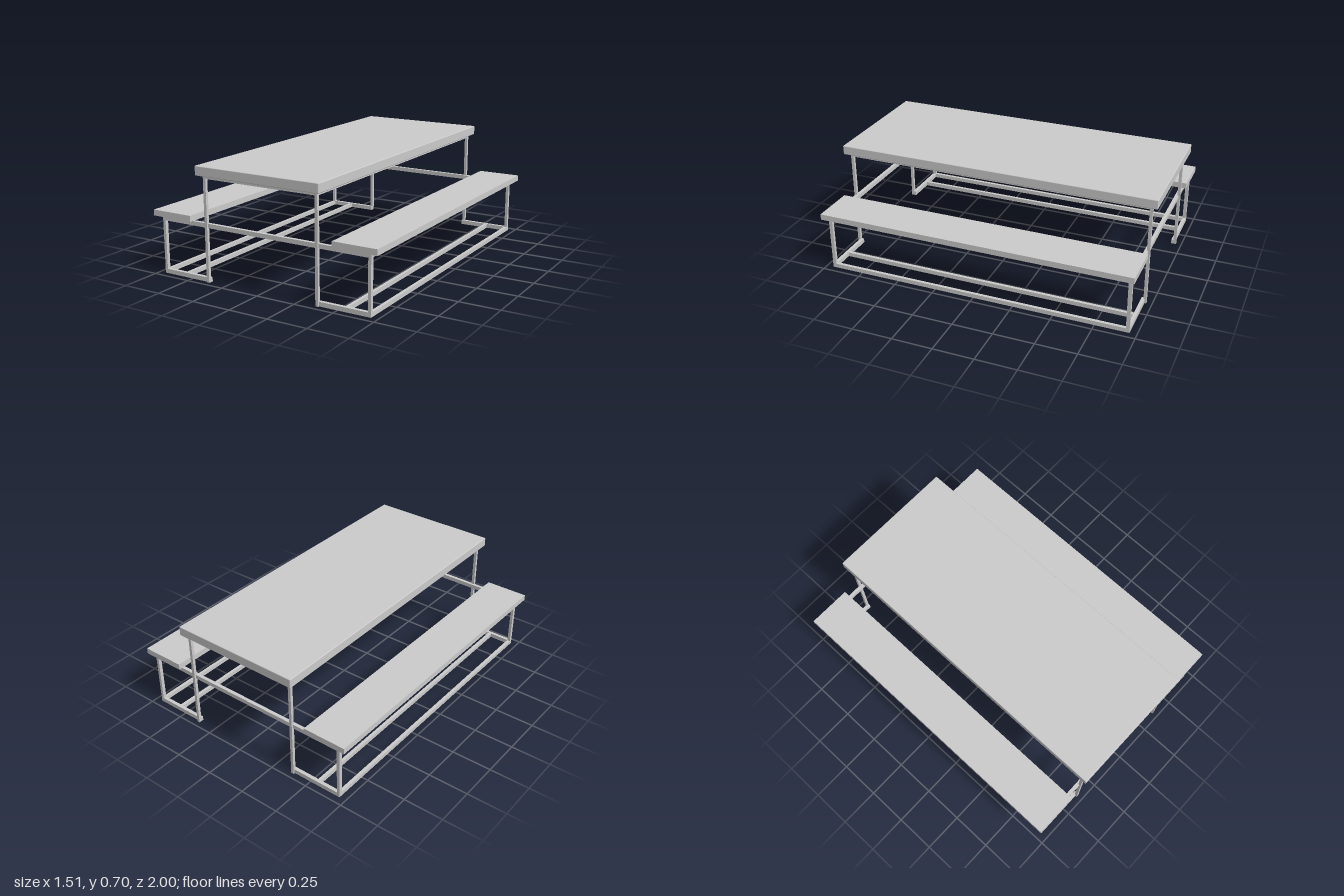
import * as THREE from 'three';
import { RoundedBoxGeometry } from 'three/addons/geometries/RoundedBoxGeometry.js';

const material = new THREE.MeshStandardMaterial({ color: 0xcccccc });

// Box given by its lower and upper limits on each axis
function bar(parent, name, [x0, x1], [y0, y1], [z0, z1]) {
  const mesh = new THREE.Mesh(new THREE.BoxGeometry(x1 - x0, y1 - y0, z1 - z0), material);
  mesh.position.set((x0 + x1) / 2, (y0 + y1) / 2, (z0 + z1) / 2);
  mesh.name = name;
  parent.add(mesh);
}

// Limits mirrored to the given side of the centre
const mirror = (side, a, b) => (side > 0 ? [a, b] : [-b, -a]);

export function createModel() {
  const table = new THREE.Group();
  table.name = 'picnicTable';

  // Thick top with slightly eased edges
  const top = new THREE.Mesh(new RoundedBoxGeometry(0.83, 0.058, 2, 2, 0.005), material);
  top.position.y = 0.669;
  top.name = 'tabletop';
  table.add(top);

  // End frames: cross bar carrying the benches, and top rail under the tabletop
  for (const end of [1, -1]) {
    const frame = new THREE.Group();
    frame.name = end > 0 ? 'frontFrame' : 'backFrame';
    table.add(frame);
    const zLeg = mirror(end, 0.948, 0.966);
    const zBar = mirror(end, 0.934, 0.956);
    bar(frame, 'crossBar', [-0.708, 0.708], [0.328, 0.354], zBar);
    bar(frame, 'topRail', [-0.385, 0.385], [0.62, 0.64], zLeg);
    for (const side of [1, -1]) {
      bar(frame, 'tableLeg', mirror(side, 0.367, 0.385), [0, 0.62], zLeg);
      bar(frame, 'benchLeg', mirror(side, 0.69, 0.708), [0.027, 0.328], zBar);
      bar(frame, 'footBar', mirror(side, 0.367, 0.708), [0, 0.027], zBar);
    }
  }

  // Benches and lengthwise rails on both sides
  for (const side of [1, -1]) {
    const bench = new THREE.Group();
    bench.name = side > 0 ? 'leftBench' : 'rightBench';
    table.add(bench);
    bar(bench, 'seat', mirror(side, 0.481, 0.757), [0.354, 0.39], [-0.978, 0.978]);
    for (const x of [0.54, 0.688]) {
      bar(bench, 'seatRail', mirror(side, x, x + 0.02), [0.329, 0.354], [-0.934, 0.934]);
      bar(bench, 'floorRail', mirror(side, x, x + 0.02), [0, 0.026], [-0.934, 0.934]);
    }
    bar(table, 'tabletopRail', mirror(side, 0.367, 0.385), [0.62, 0.64], [-0.948, 0.948]);
  }
  return table;
}
